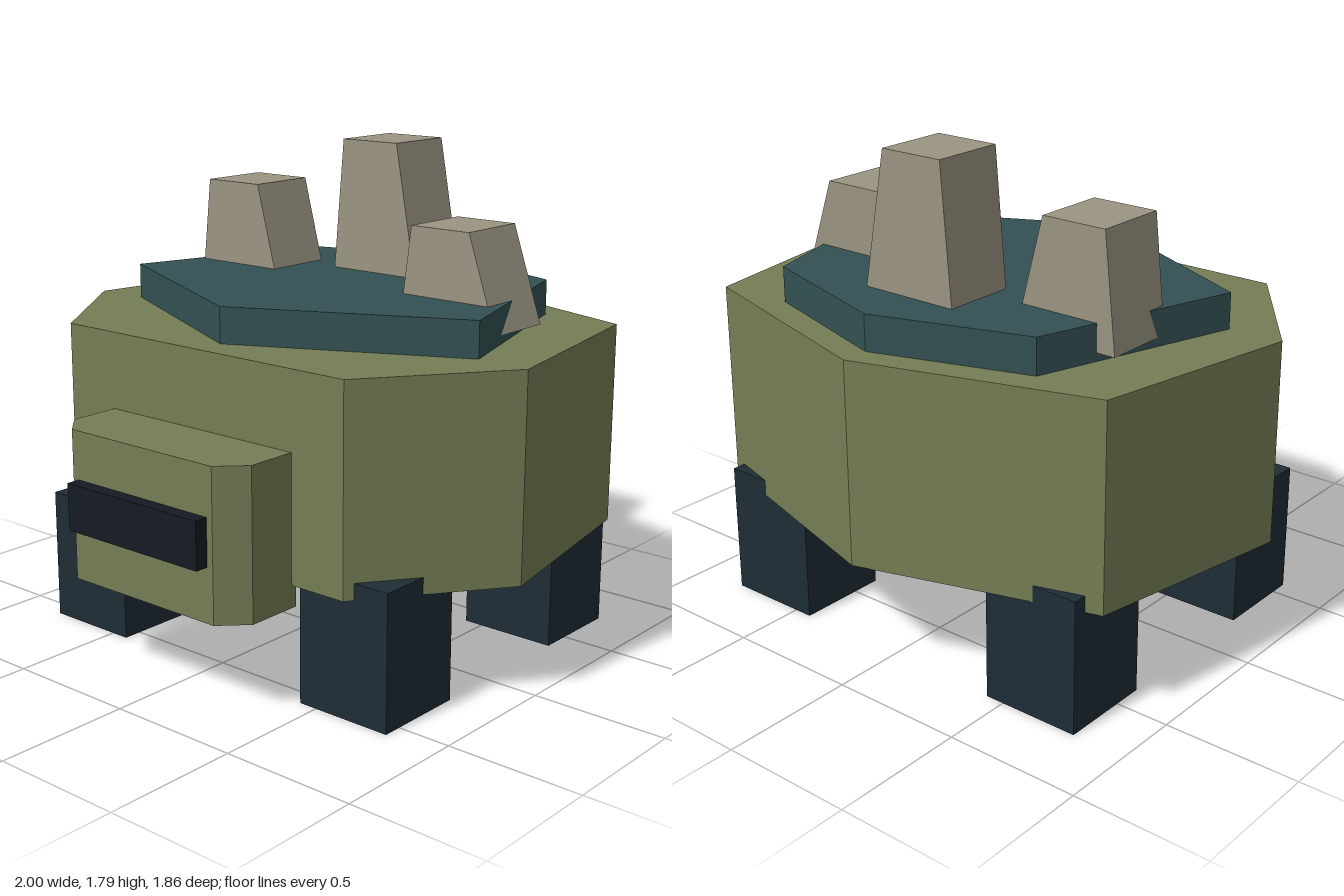
import * as THREE from 'three';

const mat = (color) => new THREE.MeshStandardMaterial({ color, flatShading: true });

const shapeOf = (points) => new THREE.Shape(points.map(([x, y]) => new THREE.Vector2(x, y)));

const extrude = (points, depth) =>
  new THREE.ExtrudeGeometry(shapeOf(points), { depth, bevelEnabled: false });

// Upright prism from an [x, z] outline, standing between two heights
function prism(outline, y0, y1) {
  const g = extrude(outline.map(([x, z]) => [x, -z]), y1 - y0);
  g.rotateX(-Math.PI / 2);
  g.translate(0, y0, 0);
  return g;
}

// Complete a right-half outline (back to front) by mirroring in x
function mirrored(half) {
  const other = half.filter(([x]) => x !== 0).reverse().map(([x, z]) => [-x, z]);
  return [...half, ...other];
}

export function createModel() {
  const group = new THREE.Group();
  const green = mat(0x747d55);
  const teal = mat(0x335052);
  const dark = mat(0x1f2d35);
  const black = mat(0x151a22);
  const stone = mat(0x9a9482);

  const add = (name, geometry, material) => {
    const mesh = new THREE.Mesh(geometry, material);
    mesh.name = name;
    group.add(mesh);
    return mesh;
  };

  // Seven-sided body
  const body = mirrored([[0, -0.93], [0.86, -0.67], [1, 0.11], [0.64, 0.6]]);
  add('body', prism(body, 0.43, 1.17), green);

  // Shell plate on the back
  const plate = mirrored([[0, -0.83], [0.57, -0.65], [0.8, 0.1], [0, 0.49]]);
  add('backPlate', prism(plate, 1.17, 1.3), teal);

  // Head with chamfered front corners, and mouth
  const head = mirrored([[0.42, 0.58], [0.42, 0.79], [0.33, 0.88]]);
  add('head', prism(head, 0.35, 0.89), green);
  add('mouth', new THREE.BoxGeometry(0.61, 0.17, 0.1).translate(0, 0.63, 0.88), black);

  // Four block legs
  for (const [end, z] of [['front', 0.395], ['back', -0.565]]) {
    for (const [side, s] of [['Left', 1], ['Right', -1]]) {
      const leg = new THREE.BoxGeometry(0.37, 0.49, 0.35);
      add(end + side + 'Leg', leg.translate(s * 0.615, 0.245, z), dark);
    }
  }

  // Tapered spikes: bottom x range, top x range, top height, back z
  const spikes = [
    ['rightSpike', [-0.71, -0.305], [-0.665, -0.415], 1.615, -0.43],
    ['middleSpike', [-0.2, 0.21], [-0.15, 0.1], 1.79, -0.62],
    ['leftSpike', [0.32, 0.73], [0.365, 0.61], 1.545, -0.37],
  ];
  for (const [name, b, t, y, z] of spikes) {
    const profile = [[b[0], 1.2], [b[1], 1.2], [t[1], y], [t[0], y]];
    add(name, extrude(profile, 0.275).translate(0, 0, z), stone);
  }

  return group;
}
